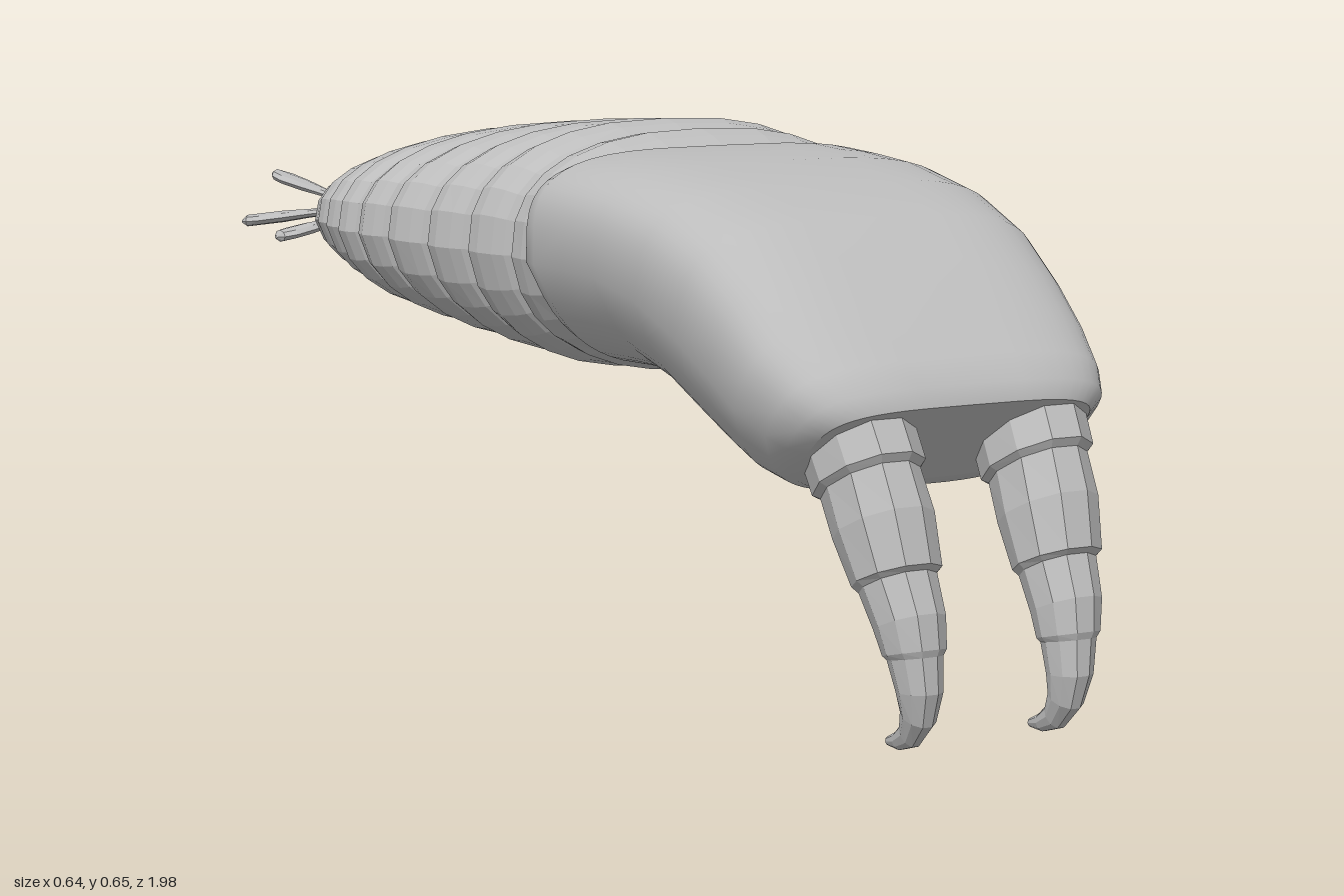
import * as THREE from 'three';

const V = (x, y, z) => new THREE.Vector3(x, y, z);
const grey = new THREE.MeshStandardMaterial({ color: 0xbcbcbc });
grey.name = 'plain grey';

// Skin through rings of points, with fan caps; smooth or faceted sides
function loft(rings, smooth = false) {
  const n = rings[0].length, pts = rings.flat(), idx = [];
  for (let r = 0; r < rings.length - 1; r++) {
    for (let i = 0; i < n; i++) {
      const j = (i + 1) % n, a = r * n + i, b = r * n + j;
      idx.push(a, b, a + n, b, b + n, a + n);
    }
  }
  [0, rings.length - 1].forEach((r) => {
    const ring = rings[r], base = pts.length;
    const mid = ring.reduce((s, p) => s.add(p), V(0, 0, 0)).divideScalar(n);
    pts.push(...ring, mid);
    for (let i = 0; i < n; i++) {
      const a = base + i, b = base + (i + 1) % n;
      if (r === 0) idx.push(b, a, base + n);
      else idx.push(a, b, base + n);
    }
  });
  // Turn the faces outward whatever direction the rings run in
  let volume = 0;
  for (let i = 0; i < idx.length; i += 3) {
    const [a, b, c] = [pts[idx[i]], pts[idx[i + 1]], pts[idx[i + 2]]];
    volume += a.dot(V(0, 0, 0).crossVectors(b, c));
  }
  if (volume < 0) idx.reverse();
  let g = new THREE.BufferGeometry().setFromPoints(pts);
  g.setIndex(idx);
  if (!smooth) g = g.toNonIndexed();
  g.computeVertexNormals();
  return g;
}

const power = (v, e) => Math.sign(v) * Math.abs(v) ** e;

// Rounded-box section between a top and a bottom point, narrower below
function section({ top, bottom, w, x = 0, n = 3, taper = 0, sides = 32 }) {
  return Array.from({ length: sides }, (_, i) => {
    const a = (i / sides) * Math.PI * 2;
    const sx = power(Math.cos(a), 2 / n), sy = power(Math.sin(a), 2 / n);
    const t = (sy + 1) / 2, k = 1 + taper * Math.min(0, sy);
    return V(x + w * sx * k, THREE.MathUtils.lerp(bottom[1], top[1], t),
      THREE.MathUtils.lerp(bottom[0], top[0], t));
  });
}

// Linear lookup in rows sorted by descending first value
function lookup(rows, z) {
  let i = 0;
  while (i < rows.length - 2 && z < rows[i + 1][0]) i++;
  const p = rows[i], q = rows[i + 1];
  const t = (z - p[0]) / (q[0] - p[0]);
  return p.map((v, k) => v + (q[k] - v) * t);
}

export function createModel() {
  const model = new THREE.Group();
  model.name = 'grub';
  const add = (name, geometry, parent = model) => {
    const m = new THREE.Mesh(geometry, grey);
    m.name = name;
    parent.add(m);
    return m;
  };

  // Head: top z, top y, bottom z, bottom y, half width
  const headRows = [
    [0.22, 0.60, 0.22, 0.39, 0.235], [0.27, 0.632, 0.28, 0.372, 0.26],
    [0.30, 0.64, 0.31, 0.366, 0.265], [0.38, 0.638, 0.38, 0.37, 0.262],
    [0.46, 0.634, 0.45, 0.372, 0.258], [0.58, 0.617, 0.52, 0.352, 0.25],
    [0.68, 0.585, 0.59, 0.32, 0.243], [0.76, 0.535, 0.65, 0.297, 0.236],
    [0.82, 0.487, 0.70, 0.282, 0.23], [0.875, 0.446, 0.74, 0.275, 0.215],
    [0.902, 0.418, 0.76, 0.278, 0.202], [0.908, 0.395, 0.775, 0.288, 0.18],
  ];
  add('head', loft(headRows.map(([tz, ty, bz, by, w]) =>
    section({ top: [tz, ty], bottom: [bz, by], w, x: -0.015, n: 3.8, taper: 0.24, sides: 48 })), true));

  // Eyes: small raised bumps
  for (const [name, x] of [['rightEye', -0.12], ['leftEye', 0.09]]) {
    const eye = add(name, new THREE.SphereGeometry(0.012, 8, 6));
    eye.position.set(x, 0.535, 0.742);
    eye.scale.set(1, 0.5, 0.8);
  }

  // Body: z, top, bottom, half width of the overall outline
  const bodyRows = [
    [0.30, 0.645, 0.36, 0.25], [0.22, 0.655, 0.345, 0.255], [0.13, 0.66, 0.338, 0.27],
    [0.0, 0.65, 0.345, 0.295], [-0.1, 0.642, 0.355, 0.315], [-0.2, 0.63, 0.362, 0.322],
    [-0.3, 0.612, 0.375, 0.303], [-0.4, 0.59, 0.388, 0.278], [-0.5, 0.56, 0.397, 0.24],
    [-0.6, 0.526, 0.403, 0.188], [-0.66, 0.508, 0.41, 0.155], [-0.72, 0.49, 0.425, 0.12],
  ];
  const joints = [0.29, 0.185, 0.09, 0, -0.09, -0.17, -0.25, -0.33, -0.41, -0.48, -0.55, -0.61, -0.66, -0.70];
  const body = new THREE.Group();
  body.name = 'segmentedBody';
  model.add(body);
  const bulge = [[-0.06, 0.88], [0.1, 0.95], [0.3, 0.99], [0.6, 1.01], [0.88, 0.97], [1.06, 0.87]];
  for (let s = 0; s < joints.length - 1; s++) {
    const rings = bulge.map(([t, k]) => {
      const z = THREE.MathUtils.lerp(joints[s], joints[s + 1], t);
      const [, top, bottom, w] = lookup(bodyRows, z);
      const mid = (top + bottom) / 2, h = (top - bottom) / 2 * k;
      return section({
        top: [z, mid + h], bottom: [z, mid - h], w: w * (k + 1) / 2 * (k < 0.9 ? 0.97 : 1),
        x: -0.005, n: 2.5, taper: 0.1, sides: 28,
      });
    });
    add('bodySegment' + (s + 1), loft(rings), body);
  }

  // Tail plate: z, top, bottom, half width
  const tailRows = [
    [-0.66, 0.495, 0.42, 0.115], [-0.70, 0.485, 0.425, 0.115], [-0.74, 0.478, 0.432, 0.112],
    [-0.78, 0.475, 0.44, 0.1], [-0.82, 0.472, 0.45, 0.112], [-0.84, 0.468, 0.457, 0.105],
  ];
  add('tailPlate', loft(tailRows.map(([z, t, b, w]) =>
    section({ top: [z, t], bottom: [z, b], w, x: 0.013, n: 2.6, sides: 20 }))));

  // Tail filaments: flat paddles from base to tip
  const filaments = [
    [[0.09, 0.462, -0.81], [0.12, 0.457, -0.995]],
    [[0.11, 0.464, -0.80], [0.21, 0.48, -0.965]],
    [[0.10, 0.46, -0.73], [0.315, 0.46, -0.865]],
    [[-0.06, 0.465, -0.81], [-0.145, 0.505, -0.92]],
    [[-0.08, 0.46, -0.78], [-0.22, 0.44, -0.86]],
    [[-0.08, 0.455, -0.735], [-0.22, 0.43, -0.72]],
  ];
  const paddle = [[0, 0.014], [0.35, 0.012], [0.6, 0.02], [0.82, 0.024], [0.95, 0.016], [1, 0.004]];
  filaments.forEach(([from, to], f) => {
    const a = V(...from), b = V(...to);
    const side = V(0, 1, 0).cross(b.clone().sub(a)).normalize();
    const rings = paddle.map(([t, w]) => Array.from({ length: 8 }, (_, i) => {
      const q = i / 8 * Math.PI * 2;
      return a.clone().lerp(b, t).addScaledVector(side, w * Math.cos(q))
        .add(V(0, Math.min(w, 0.016) * 0.55 * Math.sin(q), 0));
    }));
    add('tailFilament' + (f + 1), loft(rings));
  });

  // Front claws: curved, jointed and hooked; z, y, width radius, depth radius
  const clawRows = [
    [0.80, 0.40, 0.058, 0.06], [0.825, 0.36, 0.065, 0.076], [0.855, 0.312, 0.064, 0.076],
    [0.858, 0.306, 0.056, 0.067], [0.885, 0.262, 0.058, 0.064], [0.912, 0.208, 0.052, 0.054],
    [0.914, 0.201, 0.045, 0.047], [0.938, 0.16, 0.041, 0.043], [0.947, 0.128, 0.036, 0.038],
    [0.948, 0.122, 0.031, 0.034], [0.956, 0.085, 0.026, 0.029], [0.952, 0.055, 0.02, 0.023],
    [0.935, 0.031, 0.014, 0.017], [0.91, 0.018, 0.01, 0.011], [0.885, 0.012, 0.004, 0.005],
  ];
  for (const [name, xTop, xTip] of [['rightClaw', -0.125, -0.11], ['leftClaw', 0.11, 0.08]]) {
    const rings = clawRows.map(([z, y, rx, rz], r) => {
      const p = clawRows[Math.max(0, r - 1)], q = clawRows[Math.min(clawRows.length - 1, r + 1)];
      const dir = V(0, q[1] - p[1], q[0] - p[0]).normalize();
      const out = V(0, dir.z, -dir.y);
      const x = THREE.MathUtils.lerp(xTip, xTop, y / 0.4);
      return Array.from({ length: 10 }, (_, i) => {
        const a = i / 10 * Math.PI * 2;
        return V(x + rx * Math.cos(a), y, z).addScaledVector(out, rz * Math.sin(a));
      });
    });
    add(name, loft(rings));
  }
  return model;
}
